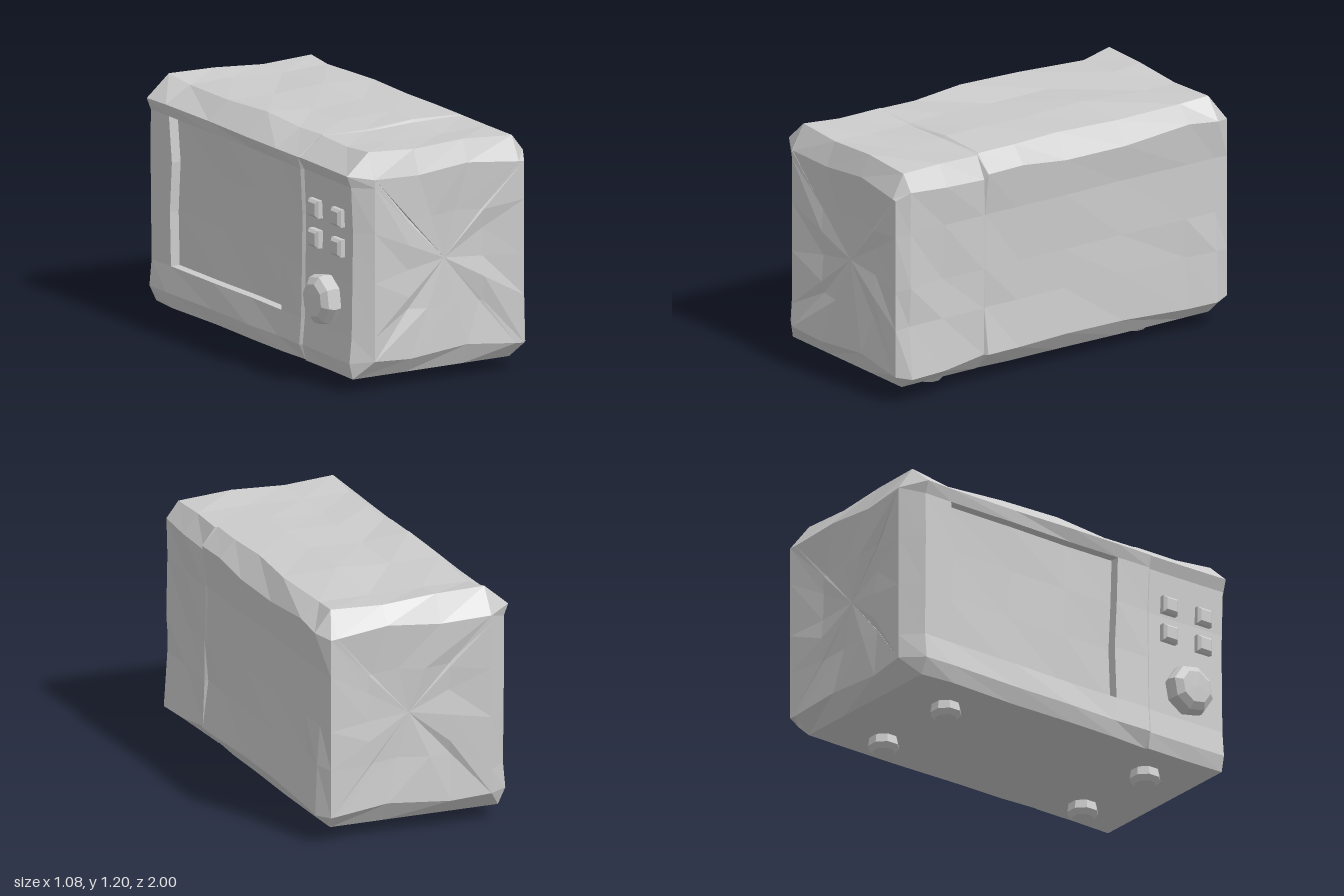
import * as THREE from 'three';

const material = new THREE.MeshStandardMaterial({ color: 0xcccccc, flatShading: true });

// Repeatable wobble in -1..1 for a grid position
const wobble = (i, j, k) => {
  const s = Math.sin(i * 12.99 + j * 78.23 + k * 37.72) * 43758.55;
  return (s - Math.floor(s)) * 2 - 1;
};

// Stations along the length, and the cross-section counter-clockwise as seen from +z
const stations = [-0.91, -0.74, -0.35, 0, 0.27, 0.47, 0.485, 0.72, 0.93];
const section = [
  [-0.44, 0.07], [-0.15, 0.07], [0.18, 0.07], [0.45, 0.07],                           // bottom
  [0.53, 0.15], [0.52, 0.4], [0.515, 0.6], [0.515, 0.88], [0.535, 1.08],              // plain side
  [0.45, 1.185], [0.18, 1.18], [-0.1, 1.18], [-0.35, 1.185],                          // top
  [-0.475, 1.09], [-0.455, 1.03], [-0.45, 0.8], [-0.445, 0.55], [-0.45, 0.28], [-0.465, 0.15], // door side
];
const N = section.length, LAST = stations.length - 1;
const inWindow = (i, j) => i >= 1 && i < 4 && j >= 14 && j < 17;

function point(i, j) {
  j = (j + N) % N;
  let [x, y] = section[j];
  let z = stations[i];
  const pinch = 0.012 * (1 - z * z);
  if (j > 3 && j < 9) {
    x += 0.012 * wobble(i, j, 1) - pinch;
    if (j === 4 || j === 8) y += 0.02 * wobble(i, j, 2);
    x = Math.min(x, 0.54);
  } else if (j > 8 && j < 13) {
    y += 0.014 * wobble(i, j, 3);
    if (j === 9 || j === 12) x += 0.015 * wobble(i, j, 4);
  } else if (j > 12) {
    // the door stands slightly proud of the control panel
    x += 0.006 * wobble(i < 6 ? i : 6, j, 5) + pinch - (i < 6 ? 0.012 : 0);
  } else if (j === 0 || j === 3) {
    x += 0.012 * wobble(i, j, 6);
  }
  if (i > 0 && i < LAST && (i < 5 || i > 6)) z += 0.012 * wobble(i, j, 7);
  return new THREE.Vector3(x, y, z);
}

function meshFrom(name, triangles) {
  const geometry = new THREE.BufferGeometry().setFromPoints(triangles);
  geometry.computeVertexNormals();
  const mesh = new THREE.Mesh(geometry, material);
  mesh.name = name;
  return mesh;
}
const quad = (list, a, b, c, d) => list.push(a, b, c, a, c, d);

function buildCasing(group) {
  const shell = [], recess = [], pane = [];
  const inward = (p) => p.clone().setX(p.x + 0.05);

  // Long sides, with the window cells pushed inward
  for (let i = 0; i < LAST; i++) {
    for (let j = 0; j < N; j++) {
      const c = [point(i, j), point(i, j + 1), point(i + 1, j + 1), point(i + 1, j)];
      if (!inWindow(i, j)) { quad(shell, ...c); continue; }
      quad(pane, ...c.map(inward));
      [[i - 1, j], [i, j + 1], [i + 1, j], [i, j - 1]].forEach(([ni, nj], e) => {
        if (inWindow(ni, nj)) return;
        const a = c[e], b = c[(e + 1) % 4];
        quad(recess, a, b, inward(b), inward(a));
      });
    }
  }

  // Ends: bevel ring, dished ring and centre
  for (const s of [-1, 1]) {
    const i = s < 0 ? 0 : LAST;
    const centre = new THREE.Vector3(0.06, 0.62, s * 0.955);
    const rim = (j) => {
      const p = point(i, j);
      const mid = 1 - Math.min(1, Math.abs(p.x - 0.06) / 0.45);
      const x = THREE.MathUtils.clamp(p.x, -0.36, 0.49);
      const y = THREE.MathUtils.clamp(p.y, 0.16, 1.07) + 0.015 * Math.sin(x * 9);
      return new THREE.Vector3(x, y, s * (0.998 - 0.03 * mid));
    };
    const dish = (j) => {
      const p = rim(j).lerp(centre, 0.5);
      p.z = s * (0.967 + 0.012 * wobble(i, (j + N) % N, 8));
      return p;
    };
    for (let j = 0; j < N; j++) {
      const [a, b] = s > 0 ? [j, j + 1] : [j + 1, j];
      quad(shell, point(i, a), point(i, b), rim(b), rim(a));
      quad(shell, rim(a), rim(b), dish(b), dish(a));
      shell.push(dish(a), dish(b), centre);
    }
  }
  group.add(meshFrom('casing', shell), meshFrom('windowFrame', recess), meshFrom('windowPane', pane));
}

// Chunky faceted turned part; profile is [radius, height] from bottom to top
function turned(name, profile, sides) {
  const points = profile.map(([r, h]) => new THREE.Vector2(r, h));
  const mesh = new THREE.Mesh(new THREE.LatheGeometry(points, sides), material);
  mesh.name = name;
  return mesh;
}

// Block with a chamfered outer face pointing to -x
function button(y, z) {
  const shape = new THREE.Shape();
  const w = 0.03, h = 0.03;
  shape.moveTo(-w, -h).lineTo(w, -h).lineTo(w, h).lineTo(-w, h).closePath();
  const geometry = new THREE.ExtrudeGeometry(shape, {
    depth: 0.04, bevelEnabled: true, bevelSize: 0.014, bevelThickness: 0.014, bevelSegments: 1,
  });
  const mesh = new THREE.Mesh(geometry, material);
  mesh.name = 'button';
  mesh.rotation.y = -Math.PI / 2;
  mesh.position.set(-0.426, y, z);
  return mesh;
}

export function createModel() {
  const group = new THREE.Group();
  group.name = 'microwaveOven';
  buildCasing(group);

  // Feet
  for (const x of [-0.22, 0.27]) {
    for (const z of [-0.595, 0.635]) {
      const foot = turned('foot', [[0, 0], [0.055, 0], [0.078, 0.025], [0.066, 0.1]], 8);
      foot.position.set(x, 0, z);
      foot.rotation.y = Math.PI / 8;
      group.add(foot);
    }
  }

  // Control dial
  const dial = turned('dial', [[0.12, 0], [0.132, 0.05], [0.12, 0.085], [0.085, 0.11], [0, 0.112]], 8);
  dial.rotation.set(0.2, 0, Math.PI / 2);
  dial.position.set(-0.43, 0.43, 0.705);
  group.add(dial);

  // Buttons
  for (const y of [0.71, 0.86]) for (const z of [0.6, 0.81]) group.add(button(y, z));

  return group;
}
